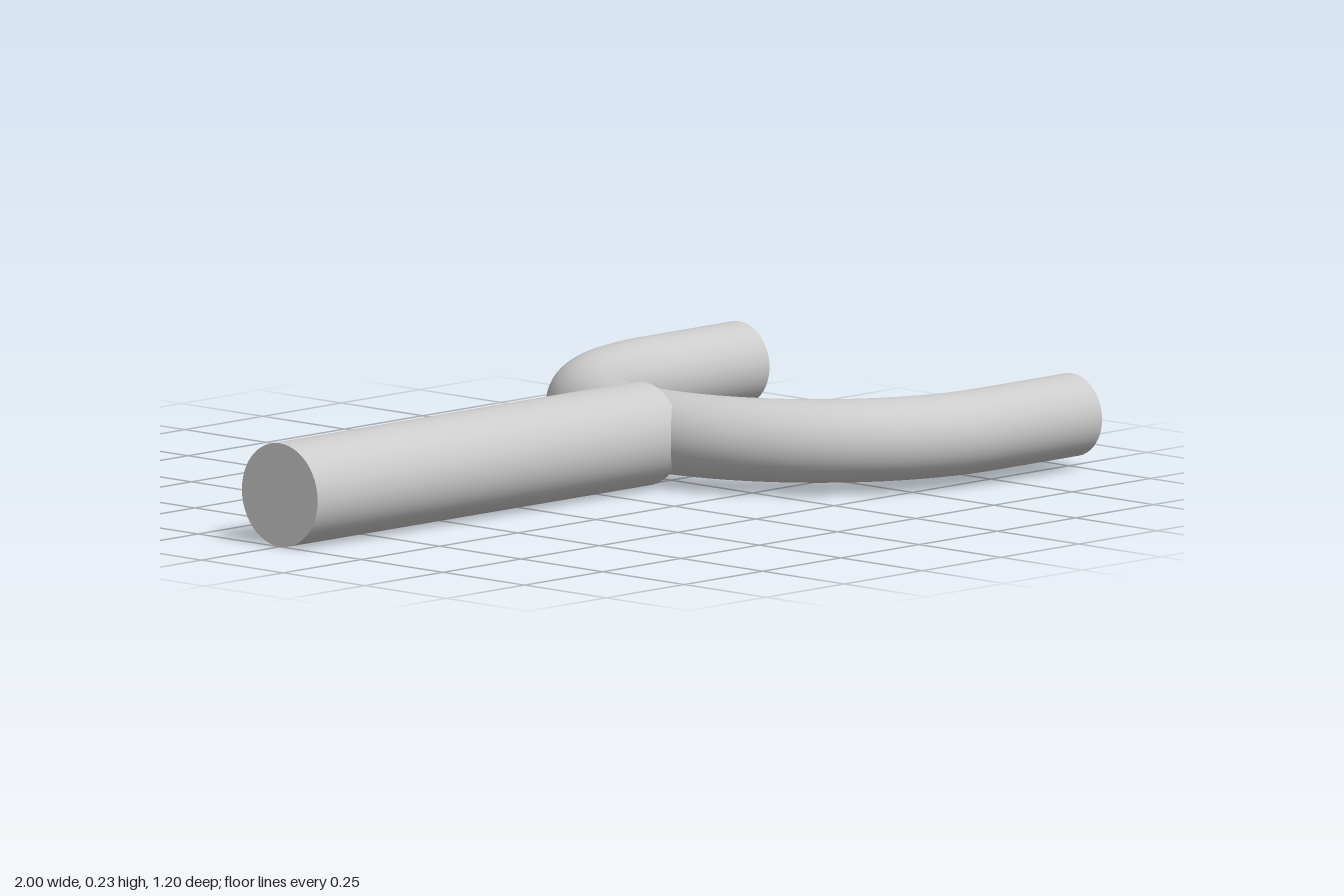
import * as THREE from 'three';

export function createModel() {
  const group = new THREE.Group();
  const material = new THREE.MeshStandardMaterial({ color: 0xcccccc });
  const axisY = 0.116;
  const handleRadius = 0.116, prongRadius = 0.0925;
  const bendRadius = 0.5095, bendX = 0.72;

  // Round bar lying along x, from x0 to x1
  function bar(name, radius, x0, x1, z) {
    const geometry = new THREE.CylinderGeometry(radius, radius, x1 - x0, 48);
    geometry.rotateZ(-Math.PI / 2);
    const mesh = new THREE.Mesh(geometry, material);
    mesh.name = name;
    mesh.position.set((x0 + x1) / 2, axisY, z);
    group.add(mesh);
  }

  // Straight handle, running into the back of the bend
  bar('handle', handleRadius, -1, 0.16, 0);

  // Half-ring bend, open towards +x
  const bendGeometry = new THREE.TorusGeometry(bendRadius, prongRadius, 48, 96, Math.PI);
  bendGeometry.rotateZ(Math.PI / 2);
  bendGeometry.rotateX(Math.PI / 2);
  const bend = new THREE.Mesh(bendGeometry, material);
  bend.name = 'forkBend';
  bend.position.set(bendX, axisY, 0);
  group.add(bend);

  // Straight prong ends
  bar('frontProng', prongRadius, bendX, 1, bendRadius);
  bar('backProng', prongRadius, bendX, 1, -bendRadius);

  return group;
}
